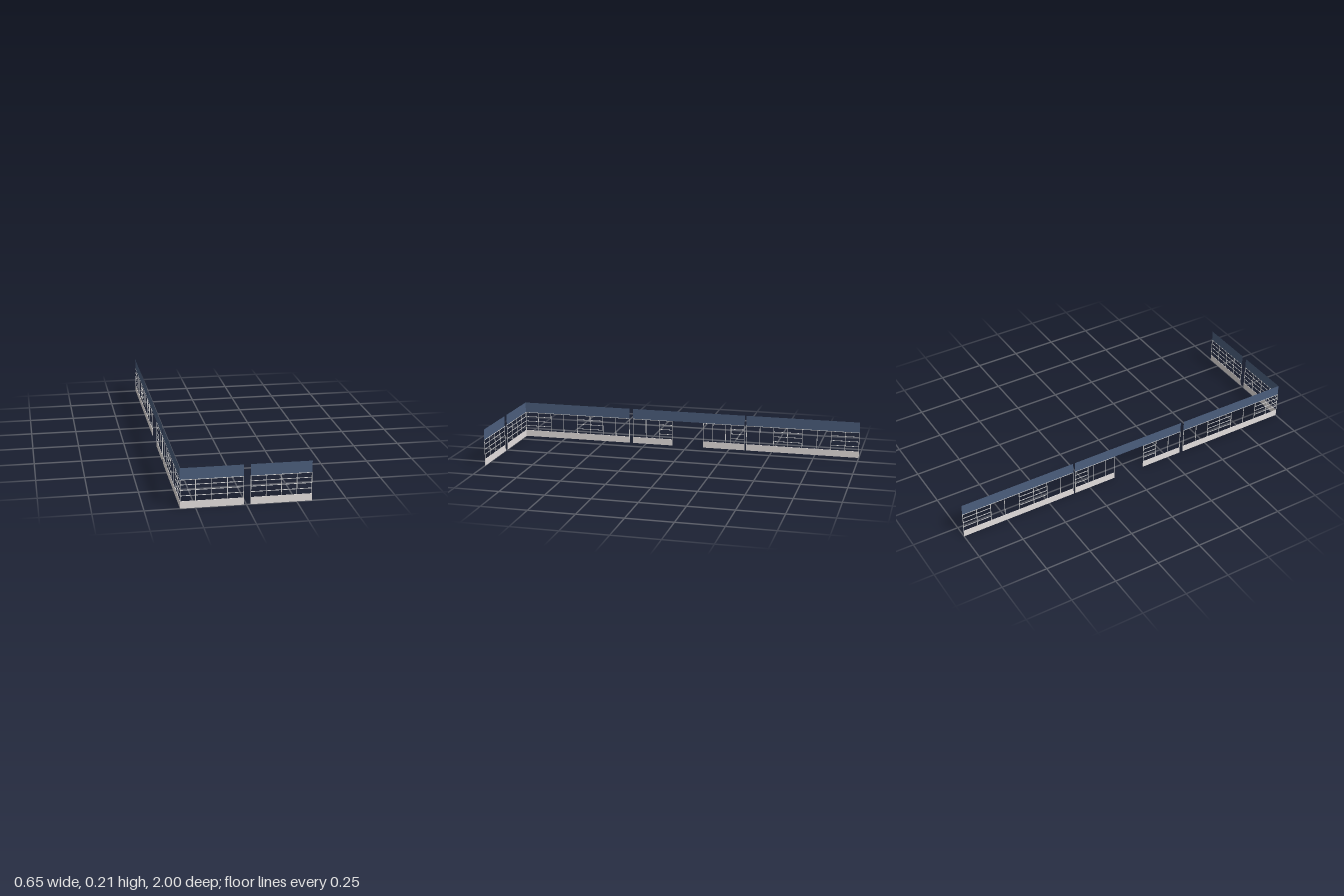
import * as THREE from 'three';

const fasciaBlue = new THREE.MeshStandardMaterial({ name: 'fasciaBlue', color: 0x4c5f7e, side: THREE.DoubleSide });
const plinthGrey = new THREE.MeshStandardMaterial({ name: 'plinthGrey', color: 0xe7e2e1 });
const frameGrey = new THREE.MeshStandardMaterial({ name: 'frameGrey', color: 0xd6d6d6 });

const BASE = 0.037, HEAD = 0.148, TOP = 0.207; // heights of the three bands
const BAR = 0.003, THIN = 0.002;
const RAILS = [0.065, 0.093, 0.121];

// Place a geometry so that it is centred on the span a0..a1, y0..y1 of the wall
function place(parent, name, geometry, material, a0, a1, y0, y1) {
  const mesh = new THREE.Mesh(geometry, material);
  mesh.position.set((a0 + a1) / 2, (y0 + y1) / 2, 0);
  mesh.name = name;
  parent.add(mesh);
}

// Thin slab in the wall plane
function slab(parent, name, material, a0, a1, y0, y1) {
  place(parent, name, new THREE.BoxGeometry(a1 - a0, y1 - y0, THIN), material, a0, a1, y0, y1);
}

// Fascia board: a single sheet without thickness
function fascia(parent, a0, a1) {
  place(parent, 'fascia', new THREE.PlaneGeometry(a1 - a0, TOP - HEAD), fasciaBlue, a0, a1, HEAD, TOP);
}

// Glazed bay: plinth, posts at the listed positions, and rails over the listed spans
function glazedBay(name, posts, railSpans) {
  const bay = new THREE.Group();
  bay.name = name;
  const first = posts[0], last = posts[posts.length - 1];
  slab(bay, 'plinth', plinthGrey, first, last, 0, BASE);
  posts.forEach((p, i) => {
    const c = i === 0 ? p + BAR / 2 : i === posts.length - 1 ? p - BAR / 2 : p;
    slab(bay, 'post', frameGrey, c - BAR / 2, c + BAR / 2, BASE, HEAD);
  });
  slab(bay, 'headRail', frameGrey, first, last, HEAD - BAR, HEAD);
  for (const [a, b] of railSpans) {
    for (const y of RAILS) slab(bay, 'rail', frameGrey, a, b, y - BAR / 2, y + BAR / 2);
  }
  return bay;
}

export function createModel() {
  const model = new THREE.Group();
  model.name = 'shopfront';

  // Front wall: two fully gridded bays with a gap between them
  const front = new THREE.Group();
  front.name = 'frontWall';
  front.position.z = 0.999;
  for (const [name, posts] of [
    ['frontBayRight', [-0.326, -0.25, -0.173, -0.094, -0.013]],
    ['frontBayLeft', [0.02, 0.097, 0.173, 0.25, 0.326]],
  ]) {
    const a = posts[0], b = posts[4];
    const bay = glazedBay(name, posts, [[a, b]]);
    fascia(bay, a, b);
    front.add(bay);
  }
  model.add(front);

  // Long side wall: its local x axis runs along -z
  const side = new THREE.Group();
  side.name = 'sideWall';
  side.position.x = -0.325;
  side.rotation.y = Math.PI / 2;
  side.add(
    glazedBay('sideBayFront',
      [-1, -0.92, -0.84, -0.76, -0.675, -0.595, -0.515, -0.435, -0.35],
      [[-1, -0.84], [-0.675, -0.515]]),
    glazedBay('doorBayFront', [-0.33, -0.25, -0.17, -0.088], [[-0.17, -0.088]]),
    glazedBay('doorBayBack', [0.095, 0.153, 0.228, 0.26, 0.34], [[0.26, 0.34]]),
    glazedBay('sideBayBack',
      [0.35, 0.43, 0.51, 0.59, 0.675, 0.76, 0.84, 0.92, 1],
      [[0.51, 0.675], [0.84, 1]]),
  );
  // The middle fascia bridges the doorway
  for (const [a, b] of [[-1, -0.35], [-0.33, 0.34], [0.35, 1]]) fascia(side, a, b);
  model.add(side);
  return model;
}
